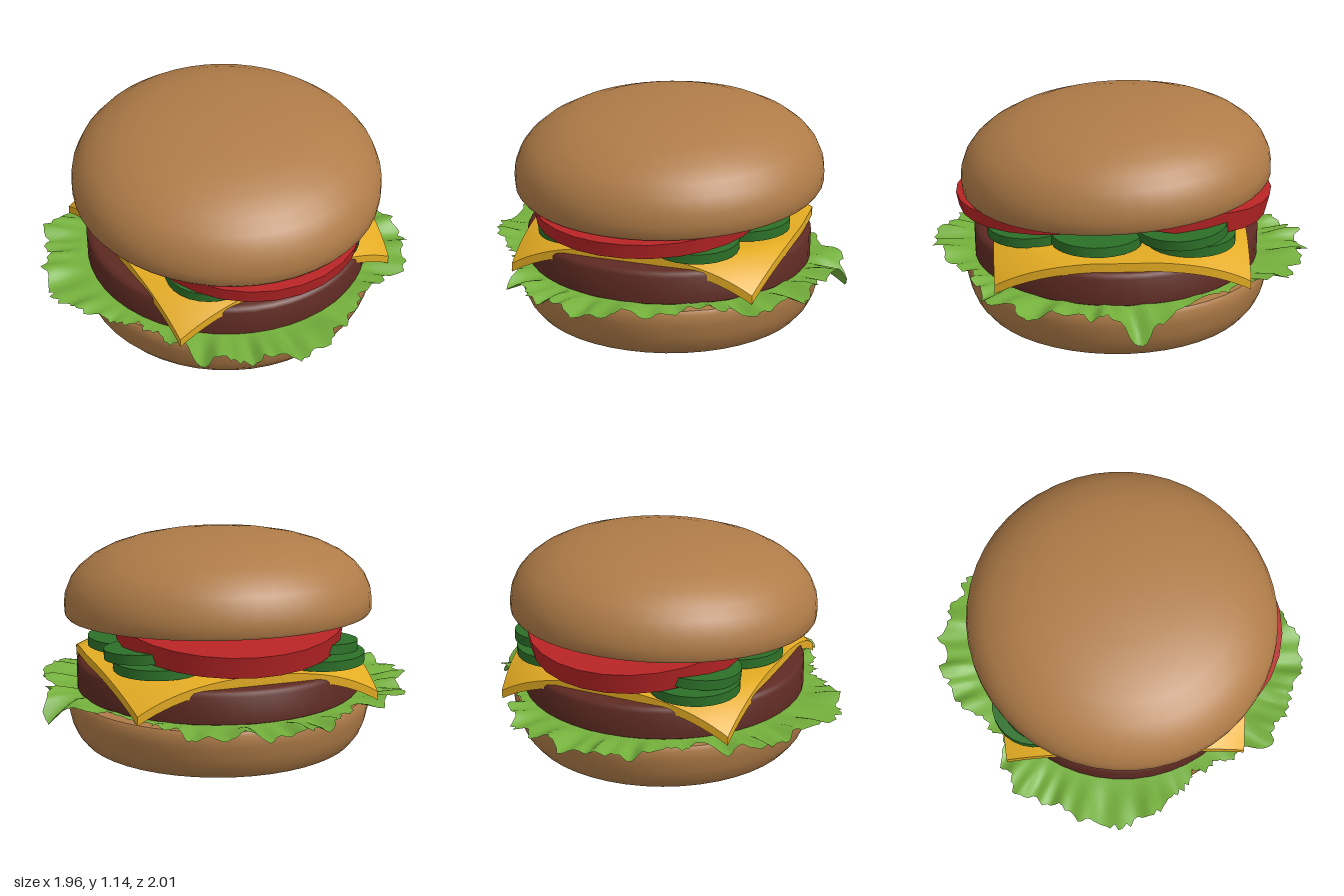
import * as THREE from 'three';
import { toCreasedNormals } from 'three/addons/utils/BufferGeometryUtils.js';

const CX = 0.025; // axis of the stack

const paint = (name, color) => {
  const m = new THREE.MeshStandardMaterial({ color });
  m.name = name;
  return m;
};

// Smooth round body from a few profile points
function roundBody(points, segments = 48, crease = 0.7) {
  const profile = points.map(([r, y]) => new THREE.Vector2(r, y));
  return toCreasedNormals(new THREE.LatheGeometry(profile, segments), crease);
}

// Flat square slice whose corners hang down and pull inward
function cheeseGeometry() {
  const half = 0.645;
  const geo = new THREE.BoxGeometry(half * 2, 0.045, half * 2, 28, 1, 28);
  const p = geo.attributes.position;
  for (let i = 0; i < p.count; i++) {
    let x = p.getX(i), z = p.getZ(i);
    const r = Math.hypot(x, z);
    const over = Math.max(0, r - 0.66);
    const bulge = 0.07 * Math.max(0, x / half) ** 2 * (1 - (z / half) ** 2);
    const pull = 1 - over * 0.12;
    p.setXYZ(i, x * pull + bulge, p.getY(i) - over * 0.35 - over * over * 0.9, z * pull);
  }
  return toCreasedNormals(geo, 0.7);
}

// Ruffled leaf ring; outline radii every 10 degrees from +x toward +z
const OUTLINE = [
  0.93, 0.9, 0.98, 0.97, 0.97, 0.88, 0.85, 0.9, 0.95, 0.99, 0.96, 0.95,
  0.94, 0.86, 0.8, 0.8, 0.88, 0.95, 0.97, 0.95, 0.92, 0.96, 0.9, 0.79,
  0.85, 0.93, 0.96, 0.98, 0.96, 0.95, 0.92, 0.82, 0.79, 0.81, 0.89, 0.97,
];

function lettuceGeometry() {
  const around = 288, rows = 9, inner = 0.5;
  let seed = 7;
  const random = () => (seed = (seed * 16807) % 2147483647) / 2147483647;
  const ragged = Array.from({ length: around }, () => random());
  const pos = [], index = [];
  for (let j = 0; j <= rows; j++) {
    for (let i = 0; i < around; i++) {
      const a = (i / around) * Math.PI * 2;
      const s = (i / around) * OUTLINE.length, k = Math.floor(s);
      const base = THREE.MathUtils.lerp(OUTLINE[k], OUTLINE[(k + 1) % OUTLINE.length], s - k);
      const edge = base + 0.015 * Math.sin(a * 31 + Math.sin(a * 5)) + (ragged[i] - 0.5) * 0.035;
      const t = j / rows;
      const r = inner + ((j === rows ? edge : base) - inner) * t;
      const wave = Math.sin(a * 19 + 2 * Math.sin(a * 3) + t * 2) * 0.6
        + Math.sin(a * 43 + Math.sin(a * 7) * 2) * 0.4;
      const grow = THREE.MathUtils.smoothstep(r, 0.72, 0.92);
      // one fold hanging over the +x side
      const da = Math.atan2(Math.sin(a + 0.19), Math.cos(a + 0.19));
      const fold = Math.exp(-((da / 0.1) ** 2)) * Math.max(0, r - 0.82) * 0.8;
      pos.push(Math.cos(a) * r, 0.318 + grow * (0.012 + wave * 0.03) - fold, Math.sin(a) * r);
      if (j < rows) {
        const n = (i + 1) % around, b = j * around, c = b + around;
        index.push(b + i, b + n, c + i, b + n, c + n, c + i);
      }
    }
  }
  const geo = new THREE.BufferGeometry();
  geo.setAttribute('position', new THREE.Float32BufferAttribute(pos, 3));
  geo.setIndex(index);
  geo.computeVertexNormals();
  return geo;
}

export function createModel() {
  const bun = paint('bun brown', 0xb07c48);
  const meat = paint('patty brown', 0x5e2a22);
  const yellow = paint('cheese yellow', 0xe3ab22);
  const red = paint('tomato red', 0xb82425);
  const pickleGreen = paint('pickle green', 0x2c7028);
  const leaf = paint('lettuce green', 0x74b03c);
  leaf.side = THREE.DoubleSide;

  const model = new THREE.Group();
  model.name = 'burger';
  const add = (name, geo, mat, x, y, z, tiltX = 0, turnY = 0, tiltZ = 0) => {
    const mesh = new THREE.Mesh(geo, mat);
    mesh.name = name;
    mesh.position.set(x, y, z);
    mesh.rotation.set(tiltX, turnY, tiltZ);
    model.add(mesh);
    return mesh;
  };

  // Buns
  add('bottomBun', roundBody([
    [0, 0], [0.48, 0.003], [0.66, 0.025], [0.72, 0.045], [0.755, 0.09], [0.78, 0.15],
    [0.795, 0.22], [0.802, 0.28], [0.79, 0.3], [0, 0.302],
  ]), bun, CX, 0, 0.005);
  add('topBun', roundBody([
    [0, 0], [0.79, 0], [0.8, 0.015], [0.802, 0.07], [0.795, 0.125], [0.765, 0.195], [0.72, 0.25],
    [0.65, 0.305], [0.55, 0.355], [0.43, 0.392], [0.29, 0.418], [0.14, 0.432], [0, 0.436],
  ]), bun, CX, 0.705, 0.008, 0.057);

  // Filling
  add('lettuce', lettuceGeometry(), leaf, 0, 0, 0);
  add('patty', roundBody([
    [0, 0.305], [0.73, 0.305], [0.745, 0.32], [0.745, 0.455], [0.735, 0.472], [0.715, 0.48], [0, 0.48],
  ]), meat, CX, 0, 0.01);
  add('cheese', cheeseGeometry(), yellow, 0.02, 0.503, 0, 0, 0.095);

  // Pickle slices: x, y, z, tilt about x, tilt about z
  const pickle = toCreasedNormals(new THREE.CylinderGeometry(0.225, 0.225, 0.05, 28), 0.7);
  [
    [-0.27, 0.552, 0.43, 0.03, 0.03],
    [0.34, 0.552, 0.42, 0.03, -0.03],
    [0.48, 0.558, 0.08, 0, 0.03],
    [0.42, 0.55, -0.38, 0, 0],
    [0.46, 0.607, -0.34, 0.07, -0.03],
    [-0.4, 0.55, -0.42, 0, 0],
    [-0.38, 0.605, -0.37, 0.07, 0.05],
    [-0.4, 0.556, 0.06, 0, -0.03],
  ].forEach(([x, y, z, tx, tz]) => add('pickleSlice', pickle, pickleGreen, x, y, z, tx, 0, tz));

  // Two overlapping tomato slices leaning on each other
  const tomato = (h) => toCreasedNormals(new THREE.CylinderGeometry(0.585, 0.575, h, 28), 0.7);
  add('frontTomatoSlice', tomato(0.075), red, CX, 0.648, 0.26, 0.065);
  add('backTomatoSlice', tomato(0.11), red, CX, 0.695, -0.21, -0.145);

  return model;
}
